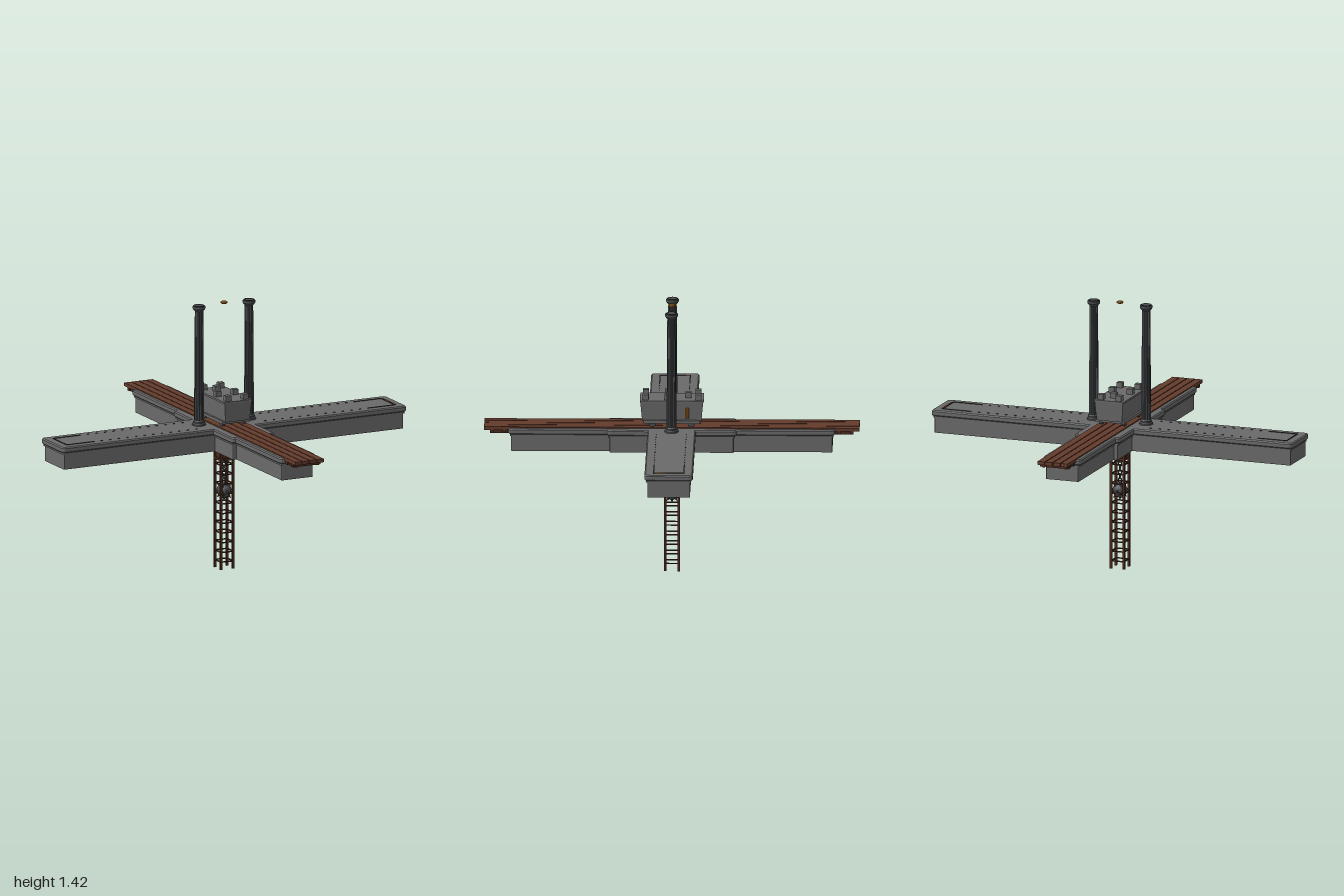
import * as THREE from 'three';

const mat = (name, color, extra = {}) => {
  const m = new THREE.MeshStandardMaterial({ color, ...extra });
  m.name = name;
  return m;
};

export function createModel() {
  const stone = mat('stone grey', 0x6a6a6a, { flatShading: true });
  const iron = mat('dark iron', 0x4b4d4f, { flatShading: true });
  const lineDark = mat('groove black', 0x2c2c2c);
  const plankWood = mat('plank brown', 0x643c2c, { flatShading: true });
  const towerWood = mat('tower brown', 0x4a2a1c, { flatShading: true });
  const brass = mat('brass orange', 0xa8621c, { flatShading: true });

  const model = new THREE.Group();
  model.name = 'crossPlatform';
  const group = (name) => {
    const g = new THREE.Group();
    g.name = name;
    model.add(g);
    return g;
  };
  const add = (parent, name, geo, material, x = 0, y = 0, z = 0) => {
    const m = new THREE.Mesh(geo, material);
    m.name = name;
    m.position.set(x, y, z);
    parent.add(m);
    return m;
  };
  const box = (parent, name, material, w, h, d, x, y, z) =>
    add(parent, name, new THREE.BoxGeometry(w, h, d), material, x, y, z);

  // Horizontal slab with rounded corners and a small bevel; hx and hz are half sizes
  const slab = (parent, name, hx, hz, y0, y1, r, bevel) => {
    const a = hx - bevel, b = hz - bevel;
    const s = new THREE.Shape();
    s.moveTo(-a + r, -b);
    s.lineTo(a - r, -b);
    s.quadraticCurveTo(a, -b, a, -b + r);
    s.lineTo(a, b - r);
    s.quadraticCurveTo(a, b, a - r, b);
    s.lineTo(-a + r, b);
    s.quadraticCurveTo(-a, b, -a, b - r);
    s.lineTo(-a, -b + r);
    s.quadraticCurveTo(-a, -b, -a + r, -b);
    const geo = new THREE.ExtrudeGeometry(s, {
      depth: y1 - y0 - 2 * bevel, bevelEnabled: bevel > 0, bevelSize: bevel,
      bevelThickness: bevel, bevelSegments: 1, curveSegments: 3,
    });
    geo.rotateX(-Math.PI / 2);
    add(parent, name, geo, stone, 0, y0 + bevel, 0);
  };

  // Stone cross: each beam has a body, a moulding and an overhanging lip
  const cross = group('stoneCross');
  for (const [name, hx, hz] of [['longBeam', 1, 0.125], ['trackBeam', 0.105, 0.845], ['middleBlock', 0.125, 0.335]]) {
    slab(cross, name + 'Body', hx - 0.015, hz - 0.015, 0.655, 0.745, 0.004, 0);
    slab(cross, name + 'Moulding', hx - 0.009, hz - 0.009, 0.735, 0.75, 0.006, 0);
    slab(cross, name + 'Lip', hx, hz, 0.745, 0.776, 0.016, 0.006);
  }

  // Inlaid lines at the ends of the long beam
  for (const s of [-1, 1]) {
    box(cross, 'endInlay', lineDark, 0.006, 0.004, 0.16, s * 0.952, 0.7765, 0);
    for (const t of [-1, 1]) {
      box(cross, 'sideInlay', lineDark, 0.16, 0.004, 0.005, s * 0.873, 0.7765, t * 0.078);
      for (let i = 0; i < 12; i++)
        box(cross, 'inlayDash', lineDark, 0.012, 0.004, 0.003, s * (0.2 + i * 0.05), 0.7765, t * 0.078);
    }
  }
  box(cross, 'brassInlay', brass, 0.006, 0.004, 0.14, 0.958, 0.777, 0);

  // Plank track with runners and cross ties under both ends
  const track = group('plankTrack');
  for (let i = 0; i < 4; i++)
    box(track, 'plank', plankWood, 0.038, 0.018, 1.94, (i - 1.5) * 0.0425, 0.773, 0);
  for (const s of [-1, 1]) {
    for (const x of [-0.062, 0.062])
      box(track, 'runner', towerWood, 0.016, 0.02, 0.11, x, 0.755, s * 0.885);
    for (const z of [0.865, 0.93])
      box(track, 'crossTie', towerWood, 0.16, 0.018, 0.018, 0, 0.756, s * z);
  }

  // Fluted columns with flared foot and capital
  const column = new THREE.CylinderGeometry(0.021, 0.025, 0.61, 24, 1);
  const p = column.attributes.position;
  for (let i = 0; i < p.count; i++) {
    const a = Math.round(Math.atan2(p.getX(i), p.getZ(i)) / (Math.PI / 12));
    const k = a % 2 ? 0.88 : 1.04;
    p.setX(i, p.getX(i) * k);
    p.setZ(i, p.getZ(i) * k);
  }
  const profile = (pts) => new THREE.LatheGeometry(pts.map(([r, y]) => new THREE.Vector2(r, y)), 16);
  const foot = profile([[0.036, 0], [0.036, 0.01], [0.03, 0.016], [0.03, 0.022], [0.022, 0.032]]);
  const capital = profile([[0.021, 0], [0.026, 0.006], [0.033, 0.015], [0.033, 0.028], [0.026, 0.031], [0.0, 0.031]]);
  for (const s of [-1, 1]) {
    const g = group(s > 0 ? 'leftColumn' : 'rightColumn');
    g.position.x = s * 0.145;
    add(g, 'shaft', column, iron, 0, 1.085, 0);
    add(g, 'foot', foot, iron, 0, 0.774, 0);
    add(g, 'capital', capital, iron, 0, 1.38, 0);
    const ring = add(g, 'capRing', new THREE.TorusGeometry(0.026, 0.003, 4, 16), lineDark, 0, 1.41, 0);
    ring.rotation.x = Math.PI / 2;
  }

  // Floating brass disc
  add(model, 'floatingDisc', new THREE.SphereGeometry(0.019, 10, 6).scale(1, 0.45, 1), brass, 0, 1.412, 0);

  // Cart with flared tub, chassis, wheels and stone lumps
  const cart = group('cart');
  const tub = new THREE.BoxGeometry(0.156, 0.108, 0.326);
  const tp = tub.attributes.position;
  for (let i = 0; i < tp.count; i++)
    if (tp.getY(i) < 0) tp.setXYZ(i, tp.getX(i) * 0.9, tp.getY(i), tp.getZ(i) * 0.94);
  tub.computeVertexNormals();
  add(cart, 'tub', tub, stone, 0, 0.867, 0);
  box(cart, 'tubRim', stone, 0.162, 0.01, 0.33, 0, 0.918, 0);
  box(cart, 'chassis', stone, 0.164, 0.016, 0.29, 0, 0.81, 0);
  for (const z of [-0.1, 0.1]) {
    box(cart, 'axle', iron, 0.12, 0.008, 0.008, 0, 0.799, z);
    for (const x of [-0.062, 0.062])
      add(cart, 'wheel', new THREE.CylinderGeometry(0.019, 0.019, 0.014, 12).rotateZ(Math.PI / 2), iron, x, 0.8, z);
  }
  for (const [x, z] of [[-0.05, -0.137], [0.05, -0.137], [0, -0.085], [-0.05, 0.022], [0.05, 0.022], [-0.05, 0.135], [0.05, 0.135]])
    box(cart, 'stoneLump', stone, 0.031, 0.031, 0.031, x, 0.936, z);
  add(cart, 'sideLamp', new THREE.CylinderGeometry(0.01, 0.01, 0.055, 8), brass, 0.074, 0.857, -0.08);

  // Open timber tower: four posts with rungs on every face
  const tower = group('timberTower');
  for (const x of [-0.035, 0.035])
    for (const z of [-0.035, 0.035])
      box(tower, 'post', towerWood, 0.012, 0.655, 0.012, x, 0.3275, z);
  for (let i = 0; i < 11; i++) {
    const y = 0.04 + i * 0.0515;
    for (const s of [-1, 1]) {
      box(tower, 'rung', towerWood, 0.07, 0.006, 0.006, 0, y, s * 0.035);
      box(tower, 'sideRung', towerWood, 0.006, 0.006, 0.07, s * 0.035, y, 0);
    }
  }
  box(tower, 'headBlock', towerWood, 0.066, 0.05, 0.066, 0, 0.612, 0);
  for (const y of [0.584, 0.642]) box(tower, 'headCollar', towerWood, 0.082, 0.012, 0.082, 0, y, 0);

  // Spiked ball hanging on a chain
  const mace = group('spikedBall');
  for (let i = 0; i < 6; i++) {
    const link = add(mace, 'chainLink', new THREE.TorusGeometry(0.009, 0.003, 5, 10).scale(1, 1.5, 1), iron, 0, 0.463 + i * 0.022, 0);
    link.rotation.y = (i % 2) * Math.PI / 2;
  }
  add(mace, 'ball', new THREE.IcosahedronGeometry(0.039, 2), iron, 0, 0.412, 0);
  const up = new THREE.Vector3(0, 1, 0);
  for (let i = -1; i <= 1; i++)
    for (let j = 0; j < 8; j++) {
      if (i && j % 2 === 0) continue;
      const a = j * Math.PI / 4;
      const d = new THREE.Vector3(Math.cos(a), i, Math.sin(a)).normalize();
      const spike = add(mace, 'spike', new THREE.ConeGeometry(0.009, 0.022, 6), iron);
      spike.position.copy(d).multiplyScalar(0.045).y += 0.412;
      spike.quaternion.setFromUnitVectors(up, d);
    }
  add(mace, 'bottomSpike', new THREE.ConeGeometry(0.009, 0.022, 6).rotateX(Math.PI), iron, 0, 0.367, 0);

  return model;
}
